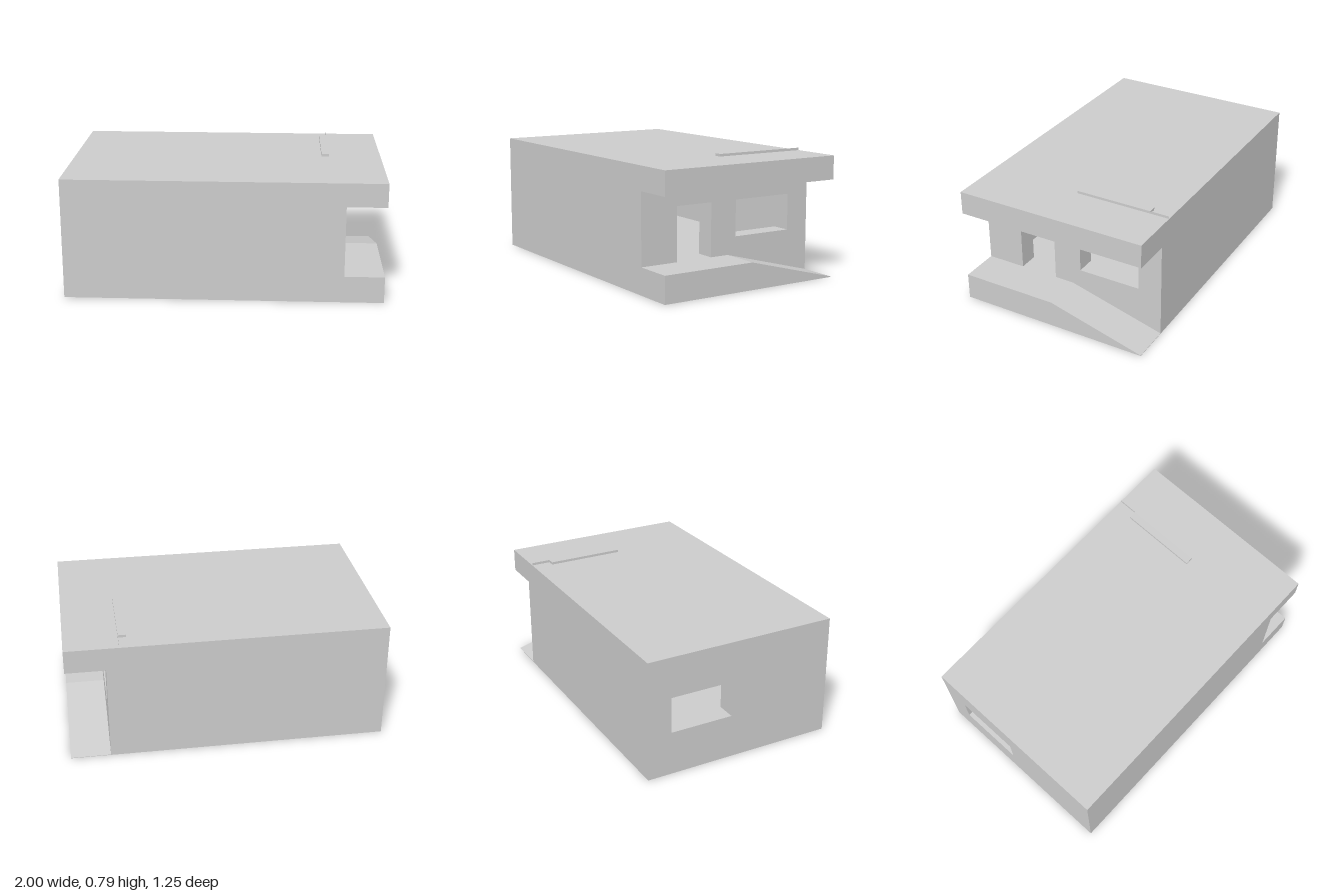
import * as THREE from 'three';

const W = 0.125;                       // wall thickness
const FLOOR = 0.17, CEIL = 0.62, TOP = 0.77;
const HALF = 0.625;                    // half depth
const WALL_X = 0.75;                   // outer face of the entrance wall

const material = new THREE.MeshStandardMaterial({ color: 0xcccccc, flatShading: true });
const thinMaterial = new THREE.MeshStandardMaterial({ color: 0xcccccc, side: THREE.DoubleSide });

const points = (list) => list.map(([a, b]) => new THREE.Vector2(a, b));
const rect = (a0, b0, a1, b1) => [[a0, b0], [a1, b0], [a1, b1], [a0, b1]];

function extrude(outline, holes, depth) {
  const shape = new THREE.Shape(points(outline));
  for (const h of holes) shape.holes.push(new THREE.Path(points(h)));
  return new THREE.ExtrudeGeometry(shape, { depth, bevelEnabled: false });
}

export function createModel() {
  const model = new THREE.Group();
  model.name = 'building';

  const add = (name, geometry, mat = material) => {
    const mesh = new THREE.Mesh(geometry, mat);
    mesh.name = name;
    model.add(mesh);
    return mesh;
  };
  const box = (name, x0, x1, y0, y1, z0, z1) =>
    add(name, new THREE.BoxGeometry(x1 - x0, y1 - y0, z1 - z0))
      .position.set((x0 + x1) / 2, (y0 + y1) / 2, (z0 + z1) / 2);
  // Profile in (-z, y), extruded along x from x0 to x1
  const across = (name, outline, holes, x0, x1) =>
    add(name, extrude(outline, holes, x1 - x0).rotateY(Math.PI / 2).translate(x0, 0, 0));

  // Floor slab with a square shaft under the entrance wall; plan in (x, -z)
  add('floorSlab', extrude(
    rect(-1, -HALF, WALL_X, HALF),
    [rect(0.626, -0.49, 0.745, -0.375)], FLOOR).rotateX(-Math.PI / 2));

  // Roof slab overhanging the porch
  box('roofSlab', -1, 1, CEIL, TOP, -HALF, HALF);

  // Long walls
  box('frontWall', -1, WALL_X, FLOOR, CEIL, HALF - W, HALF);
  box('backWall', -1, WALL_X, FLOOR, CEIL, -HALF, -HALF + W);

  // End walls with aligned windows; the entrance wall also has a doorway
  const wall = rect(-HALF + W, FLOOR, HALF - W, CEIL);
  const windowHole = rect(0.06, 0.28, 0.47, 0.51);
  across('windowWall', wall, [windowHole], -1, -1 + W);
  const doorWall = [
    [-0.5, FLOOR], [-0.375, FLOOR], [-0.375, 0.51], [-0.125, 0.51], [-0.125, FLOOR],
    [0.5, FLOOR], [0.5, CEIL], [-0.5, CEIL],
  ];
  across('entranceWall', doorWall, [windowHole], WALL_X - W, WALL_X);

  // Porch platform sloping down to the back as a ramp
  across('porchRamp', [[-HALF, 0], [HALF, 0], [HALF, 0.003], [0, FLOOR], [-HALF, FLOOR]],
    [], WALL_X, 1);

  // Low rail on the roof and the thin fin that extends it to the back edge
  box('roofRail', 0.615, 0.665, TOP, 0.786, -0.5, 0);
  const fin = add('roofFin', new THREE.PlaneGeometry(0.125, 0.016).rotateY(Math.PI / 2), thinMaterial);
  fin.position.set(0.665, 0.778, -0.5625);

  return model;
}
